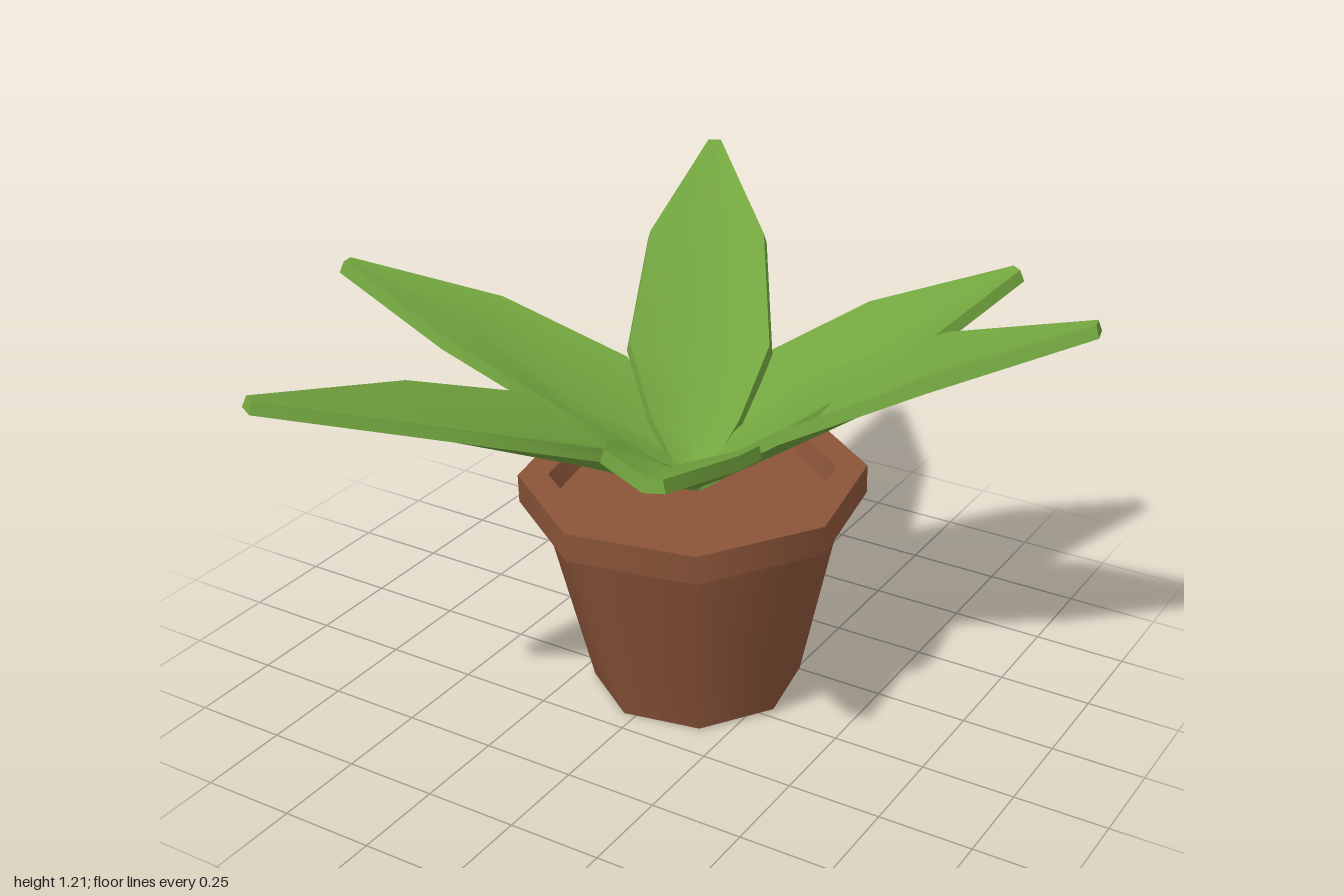
import * as THREE from 'three';
import { toCreasedNormals } from 'three/addons/utils/BufferGeometryUtils.js';

const terracotta = new THREE.MeshStandardMaterial({ color: 0x8a5438 });
terracotta.name = 'terracotta';
const leafGreen = new THREE.MeshStandardMaterial({ color: 0x72a53f });
leafGreen.name = 'leaf green';

// Eight-sided band between two profile points, smooth around, sharp at its ends
function band(name, r0, y0, r1, y1) {
  const points = [new THREE.Vector2(r0, y0), new THREE.Vector2(r1, y1)];
  const start = THREE.MathUtils.degToRad(32);
  const mesh = new THREE.Mesh(new THREE.LatheGeometry(points, 8, start), terracotta);
  mesh.name = name;
  return mesh;
}

function createPot() {
  const pot = new THREE.Group();
  pot.name = 'pot';
  pot.add(
    band('potBase', 0, 0, 0.28, 0),
    band('potBody', 0.28, 0, 0.4, 0.525),
    band('rimUnderside', 0.4, 0.525, 0.455, 0.54),
    band('rimOutside', 0.455, 0.54, 0.455, 0.618),
    band('rimTop', 0.455, 0.618, 0.375, 0.618),
    band('rimInside', 0.375, 0.618, 0.355, 0.565),
    band('soil', 0.355, 0.565, 0, 0.565),
  );
  // The pot stands very slightly askew
  pot.position.set(0.03, 0.01, -0.085);
  pot.rotation.set(0.026, 0, 0.015);
  return pot;
}

// Leaf stations: fraction of length, fraction of rise, half width, height of cupped edge
const STATIONS = [
  [0.0, 0.0, 0.04, 0.02],
  [0.1, 0.11, 0.115, 0.06],
  [0.27, 0.3, 0.187, 0.09],
  [0.62, 0.7, 0.157, 0.035],
  [1.0, 1.0, 0.018, 0.0],
];

// Thick, cupped leaf growing along +z, with a six-point cross-section
function leafGeometry(length, rise) {
  const positions = [];
  const index = [];
  const quad = (a, b, c, d) => index.push(a, b, d, b, c, d);
  for (const [t, h, w, cup] of STATIONS) {
    const z = t * length, y = h * rise;
    const zb = z + 0.01, yb = y - 0.03, wb = w + 0.008;
    positions.push(-w, y + cup, z, 0, y, z, w, y + cup, z);
    positions.push(wb, yb + cup, zb, 0, yb, zb, -wb, yb + cup, zb);
  }
  const last = (STATIONS.length - 1) * 6;
  for (let s = 0; s < last; s += 6) {
    for (let j = 0; j < 6; j++) {
      const k = (j + 1) % 6;
      quad(s + j, s + 6 + j, s + 6 + k, s + k);
    }
  }
  // Caps at the base and the blunt tip
  quad(0, 1, 4, 5);
  quad(1, 2, 3, 4);
  quad(last + 5, last + 4, last + 1, last);
  quad(last + 4, last + 3, last + 2, last + 1);

  const geometry = new THREE.BufferGeometry();
  geometry.setAttribute('position', new THREE.Float32BufferAttribute(positions, 3));
  geometry.setIndex(index);
  return toCreasedNormals(geometry, THREE.MathUtils.degToRad(55));
}

// Leaf tips as x, y, z
const TIPS = [
  [-0.425, 1.21, -0.93],
  [0.575, 1.055, -0.815],
  [0.985, 1.165, -0.315],
  [0.37, 1.015, 0.675],
  [-0.565, 1.08, 0.92],
  [-0.99, 1.05, 0.055],
];

export function createModel() {
  const model = new THREE.Group();
  model.name = 'pottedPlant';
  model.add(createPot());

  // Rosette of leaves from one crown
  const leaves = new THREE.Group();
  leaves.name = 'leaves';
  const crown = new THREE.Vector3(0.015, 0.595, -0.08);
  TIPS.forEach(([x, y, z], i) => {
    const dx = x - crown.x, dz = z - crown.z;
    const leaf = new THREE.Mesh(leafGeometry(Math.hypot(dx, dz), y - crown.y), leafGreen);
    leaf.name = `leaf${i + 1}`;
    leaf.position.copy(crown);
    leaf.rotation.y = Math.atan2(dx, dz);
    leaves.add(leaf);
  });
  model.add(leaves);
  return model;
}
